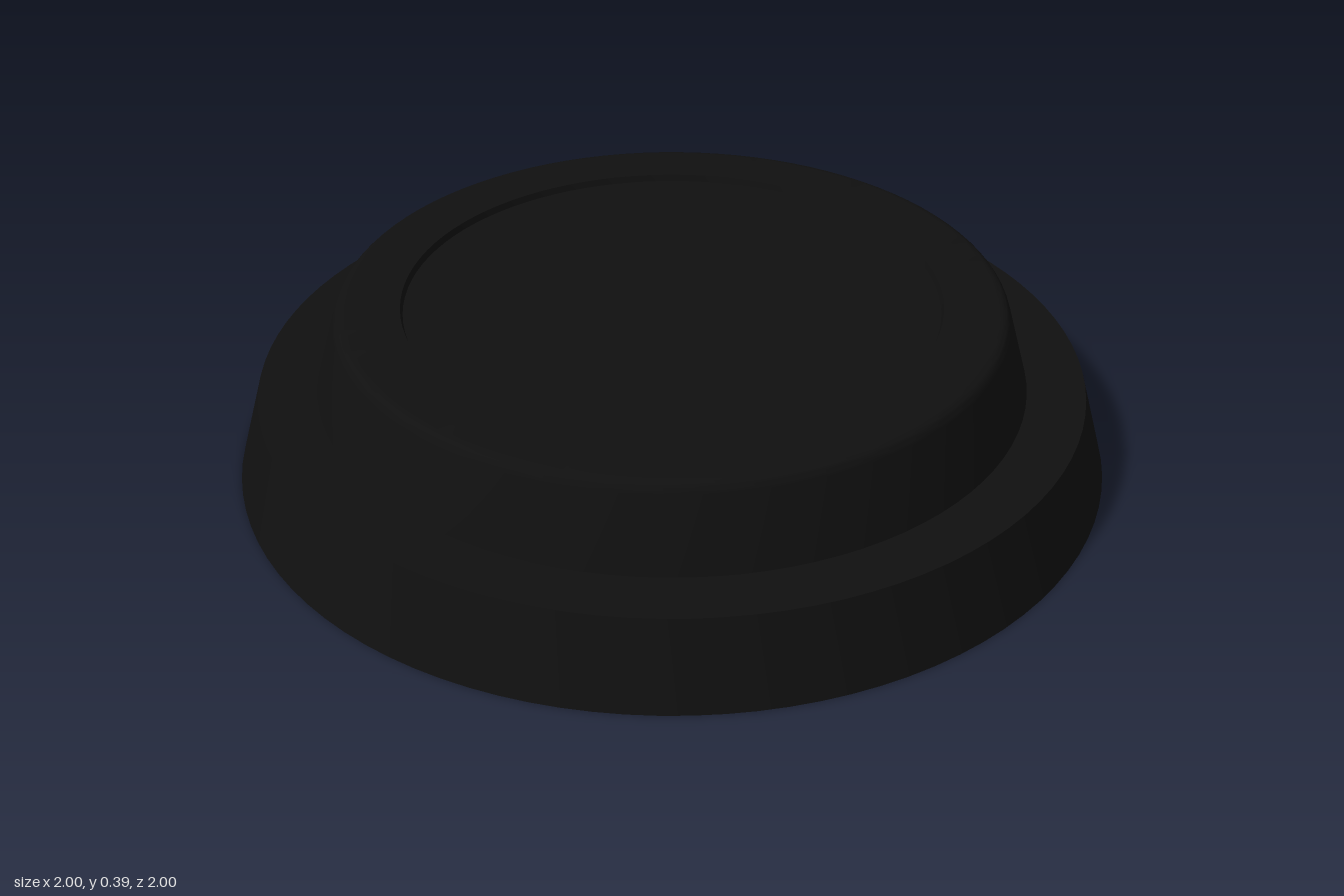
import * as THREE from 'three';
import { toCreasedNormals } from 'three/addons/utils/BufferGeometryUtils.js';

const SEGMENTS = 96;

export function createModel() {
  const group = new THREE.Group();
  group.name = 'steppedLid';
  const material = new THREE.MeshStandardMaterial({ color: 0x101010, side: THREE.DoubleSide });

  // Spins a profile of [radius, height] points, keeping hard edges sharp
  function addRing(name, profile) {
    const points = profile.map(([r, y]) => new THREE.Vector2(r, y));
    const geometry = toCreasedNormals(new THREE.LatheGeometry(points, SEGMENTS), Math.PI / 7);
    const mesh = new THREE.Mesh(geometry, material);
    mesh.name = name;
    group.add(mesh);
  }

  // Sloping outer skirt, open underneath
  addRing('skirt', [[1, 0], [0.945, 0.197]]);

  // Flat step between the two walls
  addRing('ledge', [[0.945, 0.197], [0.812, 0.197]]);

  // Raised wall with a rounded shoulder, running into the flat rim
  const shoulder = new THREE.QuadraticBezierCurve(
    new THREE.Vector2(0.765, 0.365),
    new THREE.Vector2(0.758, 0.388),
    new THREE.Vector2(0.735, 0.388)
  ).getPoints(6).map((p) => [p.x, p.y]);
  addRing('crown', [[0.812, 0.197], ...shoulder, [0.613, 0.388]]);

  // Shallow recessed disc in the top
  addRing('recessedTop', [[0.613, 0.388], [0.608, 0.373], [0, 0.373]]);

  return group;
}
